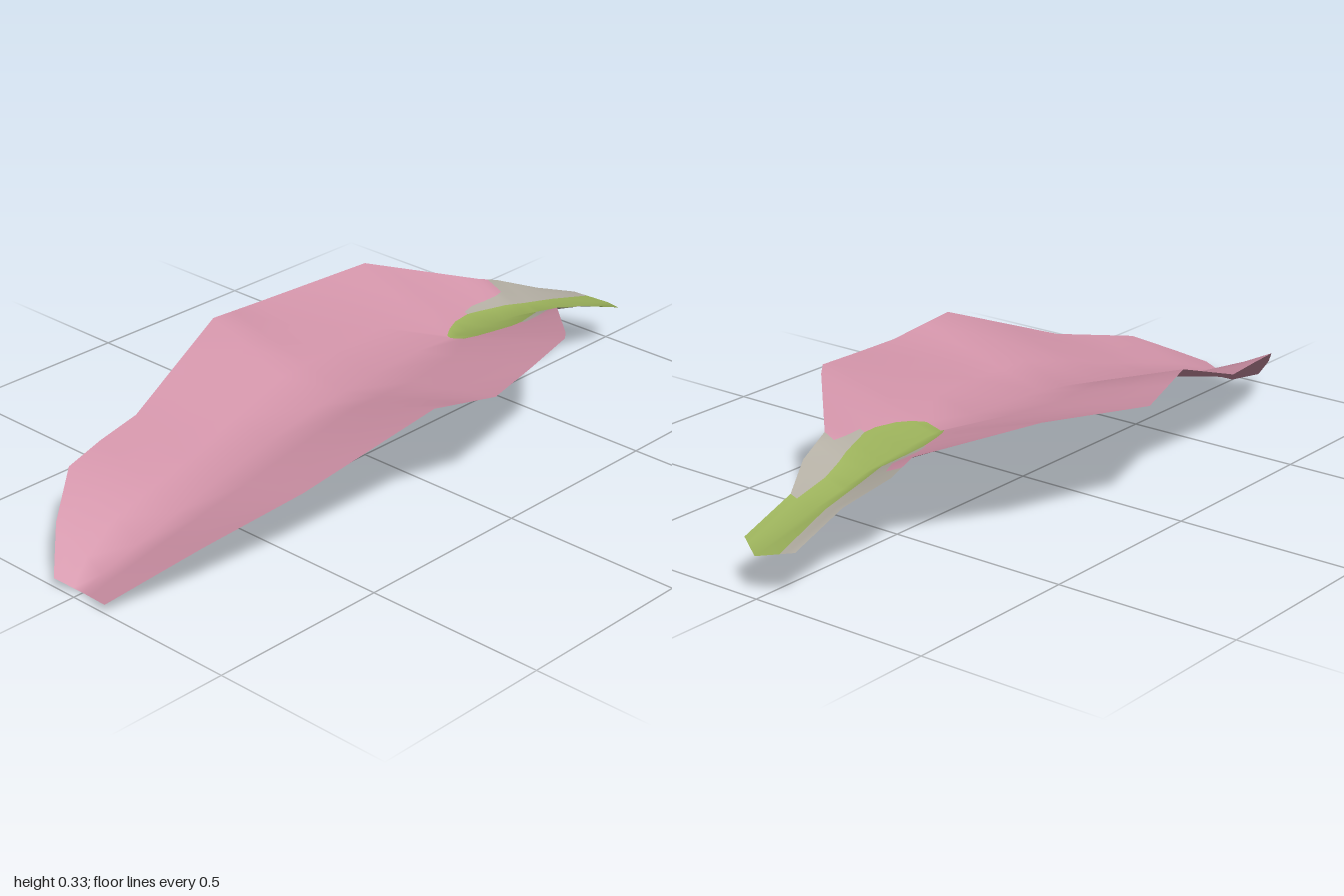
import * as THREE from 'three';

// Piecewise linear lookup: knots are [z, ...values] in rising z
function sample(knots, z) {
  if (z <= knots[0][0]) return knots[0].slice(1);
  for (let i = 1; i < knots.length; i++) {
    const a = knots[i - 1], b = knots[i];
    if (z <= b[0]) {
      const t = (z - a[0]) / (b[0] - a[0]);
      return a.slice(1).map((v, k) => v + (b[k + 1] - v) * t);
    }
  }
  return knots[knots.length - 1].slice(1);
}

// Midrib height along the petal
const midrib = [[-1, 0.11], [-0.8, 0.16], [-0.6, 0.2], [-0.4, 0.221], [-0.2, 0.23], [0, 0.222],
  [0.2, 0.2], [0.4, 0.16], [0.6, 0.112], [0.8, 0.058], [1, 0.002]];

// Rims: z, x, y
const rightRim = [[-0.96, -0.09, 0.128], [-0.8, -0.095, 0.19], [-0.68, -0.14, 0.238], [-0.6, -0.14, 0.267],
  [-0.36, -0.34, 0.33], [-0.03, -0.42, 0.297], [0.17, -0.38, 0.33], [0.52, -0.3, 0.204],
  [0.78, -0.253, 0.187], [0.91, -0.16, 0.107], [1, -0.07, 0.026]];
const leftRim = [[-0.96, 0.07, 0.128], [-0.8, 0.07, 0.185], [-0.7, 0.12, 0.23], [-0.6, 0.14, 0.267],
  [-0.37, 0.36, 0.33], [-0.04, 0.415, 0.297], [0.17, 0.39, 0.33], [0.52, 0.288, 0.198],
  [0.8, 0.222, 0.133], [1, 0.11, 0.026]];

// Colour borders near the base: z, margin right, stalk right, stalk left, margin left
const borders = [[-1, -0.07, -0.055, 0.045, 0.06], [-0.8, -0.07, -0.04, 0.05, 0.06],
  [-0.7, -0.09, -0.04, 0.05, 0.09], [-0.64, -0.09, -0.04, 0.06, 0.1], [-0.6, -0.075, -0.04, 0.07, 0.11],
  [-0.5, -0.075, -0.052, 0.1, 0.115], [-0.46, -0.065, -0.055, 0.1, 0.11], [-0.4, -0.08, -0.045, 0.085, 0.12],
  [-0.36, -0.12, -0.03, 0.068, 0.15], [-0.33, -0.14, -0.012, 0.045, 0.16], [-0.2, -0.25, -0.125, 0.125, 0.25]];

const rows = [-1, -0.8, -0.7, -0.68, -0.64, -0.6, -0.55, -0.5, -0.46, -0.4, -0.36, -0.33, -0.2, -0.03,
  0.08, 0.17, 0.35, 0.52, 0.66, 0.79, 0.91, 1];

// Colour of one strip (0 = right rim ... 5 = left rim) at depth z
function partAt(strip, z) {
  if (strip === 2 || strip === 3) return z < -0.33 ? 'stalk' : 'petal';
  if (strip > 3 && z < -0.8) return 'stalk';
  const start = [-0.64, -0.46, 0, 0, -0.5, -0.6][strip];
  return z < start ? 'margin' : 'petal';
}

export function createModel() {
  const group = new THREE.Group();
  const materials = {};
  for (const [part, name, color] of [['petal', 'petal pink', 0xd193a8],
    ['margin', 'pale grey', 0xb2ada2], ['stalk', 'leaf green', 0x9ab05a]]) {
    materials[part] = new THREE.MeshStandardMaterial({ color, side: THREE.DoubleSide });
    materials[part].name = name;
  }

  // V-shaped cross-sections, seven points each
  const points = [];
  for (const z of rows) {
    const rims = [sample(rightRim, z), sample(leftRim, z)];
    const [r, l] = rims.map((p) => p[0]);
    const inner = z > -0.2 ? [r * 0.66, r * 0.33, l * 0.33, l * 0.66] : sample(borders, z);
    const xs = [r, inner[0], inner[1], 0, inner[2], inner[3], l];
    const ribY = sample(midrib, z)[0];
    for (const x of xs) {
      const [rimX, rimY] = rims[x < 0 ? 0 : 1];
      const t = x / rimX;
      // The base ends in a point, the front in a shallow notch
      const endZ = z === -1 ? -1 + 0.04 * t : z === 1 ? 0.972 + 0.028 * t : z;
      points.push(x, ribY + (rimY - ribY) * t, endZ);
    }
  }

  // Join the sections and sort the faces by colour
  const all = [], faces = { petal: [], margin: [], stalk: [] };
  for (let i = 0; i < rows.length - 1; i++) {
    for (let s = 0; s < 6; s++) {
      const a = i * 7 + s, b = a + 7;
      const quad = [a, b, a + 1, b, b + 1, a + 1];
      all.push(...quad);
      faces[partAt(s, (rows[i] + rows[i + 1]) / 2)].push(...quad);
    }
  }

  // Normals come from the whole sheet so the colours meet smoothly
  const sheet = new THREE.BufferGeometry();
  sheet.setAttribute('position', new THREE.Float32BufferAttribute(points, 3));
  sheet.setIndex(all);
  sheet.computeVertexNormals();

  const names = { petal: 'petalBlade', margin: 'paleMargin', stalk: 'greenBase' };
  for (const part in faces) {
    const geometry = sheet.clone();
    geometry.setIndex(faces[part]);
    const mesh = new THREE.Mesh(geometry, materials[part]);
    mesh.name = names[part];
    group.add(mesh);
  }
  group.name = 'petal';
  return group;
}
